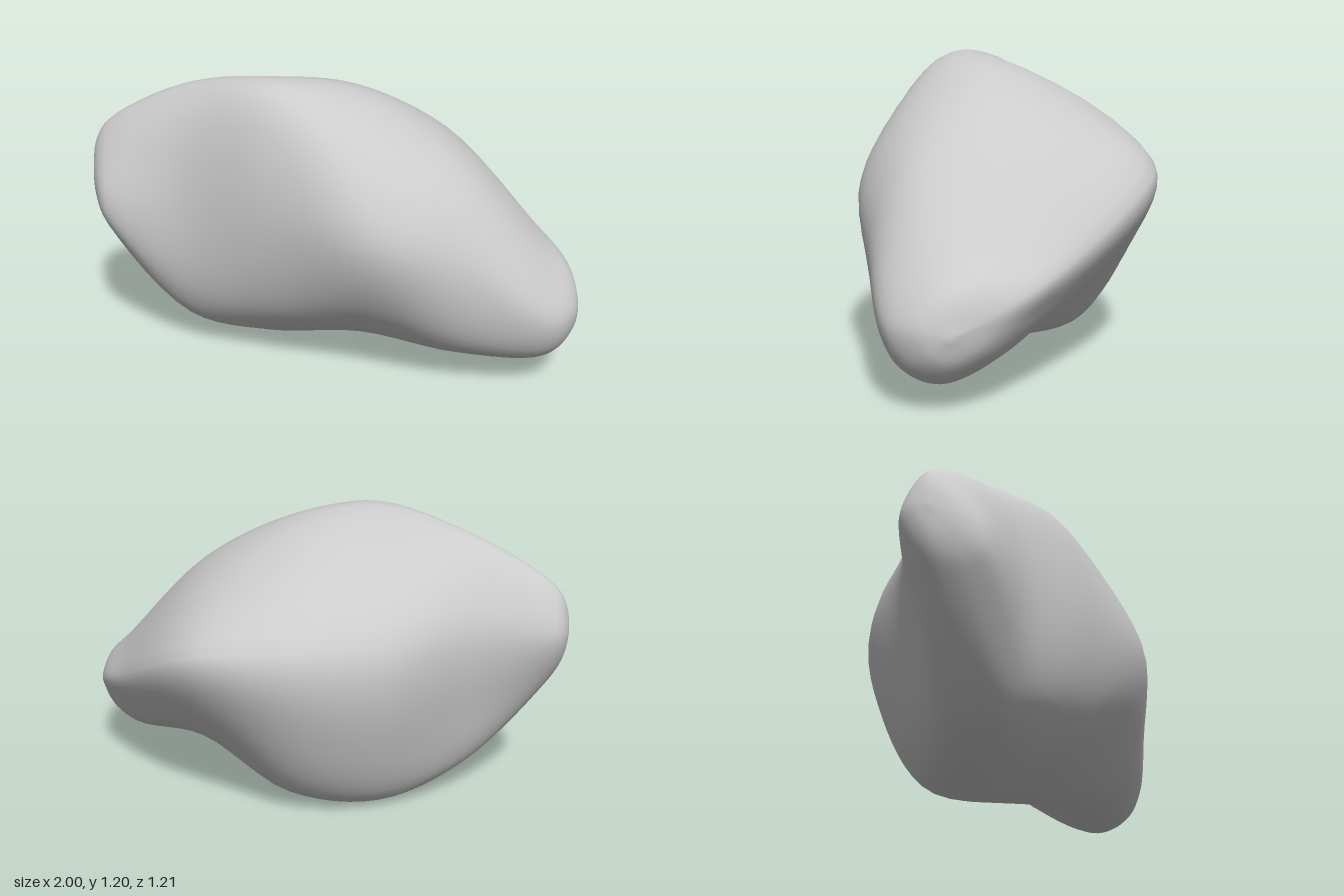
import * as THREE from 'three';
import { mergeVertices } from 'three/addons/utils/BufferGeometryUtils.js';

// Cross-sections along x. Each ring of [z, y] runs: back ridge, crown,
// front shoulder, front, lower front, base, rear of base, lower back.
const section = (x, ...ring) => ({ x, ring });

// Rounds off an end: a shrunken copy of the ring, then a single closing point.
function endCap({ x, ring }, tip) {
  const towardsTip = (along, shrink) => ({
    x: THREE.MathUtils.lerp(x, tip.x, along),
    ring: ring.map(([z, y]) => [tip.z + (z - tip.z) * shrink, tip.y + (y - tip.y) * shrink]),
  });
  return [towardsTip(0.75, 0.54), towardsTip(1, 0)];
}

function boulderGeometry() {
  const narrowEnd = section(-0.93, [-.29, .78], [-.19, .95], [-.1, .89], [.02, .7], [.02, .58], [-.06, .52], [-.16, .53], [-.25, .63]);
  const tipEnd = section(0.85, [-.09, .5], [.18, .58], [.4, .52], [.55, .34], [.5, .17], [.36, .1], [.16, .18], [0, .34]);
  const stations = [
    ...endCap(narrowEnd, new THREE.Vector3(-1, .76, -.18)).reverse(),
    narrowEnd,
    section(-0.6, [-.33, .83], [-.1, 1.13], [.05, 1.03], [.15, .68], [.13, .3], [.02, .14], [-.18, .16], [-.29, .43]),
    section(-0.25, [-.5, .8], [.06, 1.2], [.24, 1.15], [.38, .72], [.29, .28], [.03, .05], [-.26, .02], [-.44, .3]),
    section(0.12, [-.58, .8], [.05, 1.15], [.4, 1.01], [.59, .68], [.45, .32], [.1, .08], [-.29, .07], [-.53, .42]),
    section(0.5, [-.51, .75], [.08, .95], [.42, .84], [.58, .56], [.52, .22], [.32, .1], [-.04, .2], [-.4, .48]),
    tipEnd,
    ...endCap(tipEnd, new THREE.Vector3(1, .31, .34)),
  ];
  const around = 56;
  const rows = (stations.length - 1) * 6;

  // Smooth rails run lengthwise through matching ring points
  const rails = narrowEnd.ring.map((_, k) => new THREE.CatmullRomCurve3(
    stations.map(({ x, ring }) => new THREE.Vector3(x, ring[k][1], ring[k][0]))));

  // Skin the rails with closed smooth loops
  const positions = [], index = [];
  for (let i = 0; i <= rows; i++) {
    const points = rails.map((rail) => rail.getPoint(i / rows));
    const pole = i === 0 || i === rows;
    const loop = new THREE.CatmullRomCurve3(points, true, 'centripetal');
    for (let k = 0; k < around; k++) {
      const p = pole ? points[0] : loop.getPoint(k / around);
      positions.push(p.x, p.y, p.z);
    }
  }
  for (let i = 0; i < rows; i++) {
    for (let k = 0; k < around; k++) {
      const a = i * around + k, b = i * around + (k + 1) % around;
      const c = a + around, d = b + around;
      if (i > 0) index.push(a, b, c);
      if (i < rows - 1) index.push(b, d, c);
    }
  }
  const skin = new THREE.BufferGeometry();
  skin.setAttribute('position', new THREE.Float32BufferAttribute(positions, 3));
  skin.setIndex(index);
  const geometry = mergeVertices(skin, 1e-5);

  // Rest it on the ground
  geometry.computeBoundingBox();
  geometry.translate(0, -geometry.boundingBox.min.y, 0);
  geometry.computeVertexNormals();
  return geometry;
}

export function createModel() {
  const group = new THREE.Group();
  group.name = 'rock';
  const boulder = new THREE.Mesh(boulderGeometry(), new THREE.MeshStandardMaterial({ color: 0xcccccc }));
  boulder.name = 'boulder';
  group.add(boulder);
  return group;
}
